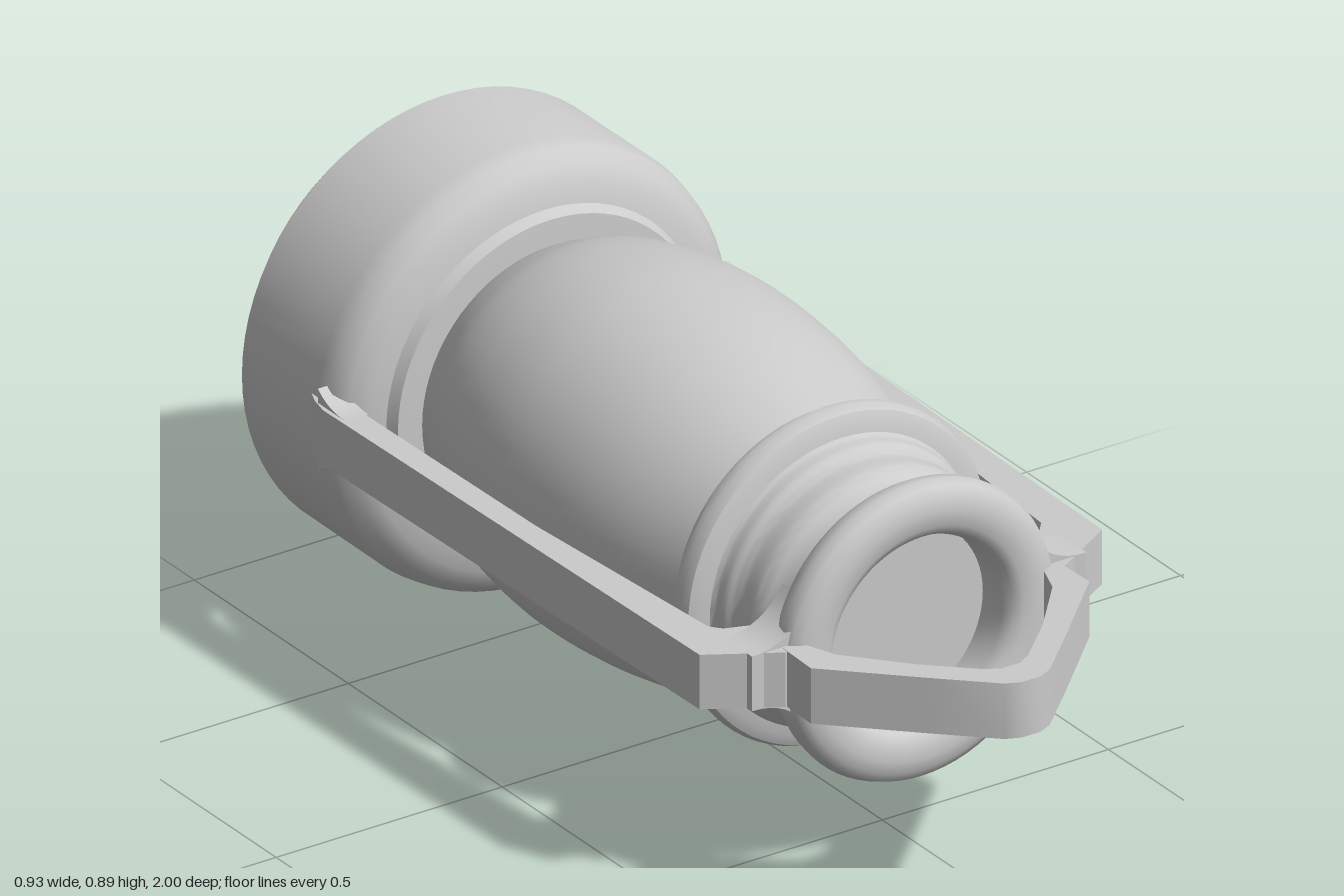
import * as THREE from 'three';
import { toCreasedNormals } from 'three/addons/utils/BufferGeometryUtils.js';

const material = new THREE.MeshStandardMaterial({ color: 0xcccccc });
const AXIS_Y = 0.452, AXIS_X = -0.01;

// All geometry is built around the lamp's own axis, which runs along z.
function add(group, name, geometry, crease = 0.65) {
  const mesh = new THREE.Mesh(toCreasedNormals(geometry, crease), material);
  mesh.name = name;
  group.add(mesh);
  return mesh;
}

// Turned part from [radius, z] pairs, listed from back to front.
function turned(points, smooth = 0) {
  let pts = points.map(([r, z]) => new THREE.Vector2(r, z));
  if (smooth) pts = new THREE.SplineCurve(pts).getPoints(smooth);
  return new THREE.LatheGeometry(pts, 72).rotateX(Math.PI / 2);
}

// Flat part drawn in x and z, with its thickness centred on the axis height.
function slab(points, height) {
  const shape = new THREE.Shape(points.map(([x, z]) => new THREE.Vector2(x, z)));
  return new THREE.ExtrudeGeometry(shape, { depth: height, bevelEnabled: false })
    .rotateX(Math.PI / 2).translate(0, height / 2, 0);
}

const mirrored = (points) => points.map(([x, z]) => [-x, z]);

// Concave gusset, wide at u = 0 and narrowing to the bar at u = length.
function gusset(length, wide, narrow, depth) {
  const s = new THREE.Shape();
  s.moveTo(0, -wide);
  s.quadraticCurveTo(length * 0.35, -narrow, length, -narrow);
  s.lineTo(length, narrow);
  s.quadraticCurveTo(length * 0.35, narrow, 0, wide);
  return new THREE.ExtrudeGeometry(s, { depth, bevelEnabled: false, curveSegments: 8 });
}

export function createModel() {
  const model = new THREE.Group();
  model.name = 'lantern';
  const body = new THREE.Group();
  body.name = 'lanternBody';
  body.position.set(AXIS_X, AXIS_Y, 0);
  model.add(body);

  // Heavy base with a slightly domed underside
  add(body, 'base', turned([
    [0, -1], [0.16, -0.998], [0.28, -0.99], [0.36, -0.973], [0.41, -0.95], [0.446, -0.91],
    [0.447, -0.67], [0.44, -0.635], [0.42, -0.608], [0.385, -0.59], [0.35, -0.582],
    [0.338, -0.562], [0.28, -0.558], [0, -0.558],
  ]));

  // Bulging globe
  add(body, 'globe', turned([
    [0.28, -0.57], [0.308, -0.52], [0.338, -0.45], [0.362, -0.34], [0.374, -0.2],
    [0.365, -0.03], [0.337, 0.13], [0.284, 0.32],
  ], 36));

  // Collar ring above the globe
  add(body, 'collar', turned([
    [0.26, 0.304], [0.31, 0.304], [0.322, 0.312], [0.328, 0.33], [0.338, 0.336],
    [0.34, 0.355], [0.332, 0.372], [0.31, 0.382], [0.26, 0.386],
  ]));

  // Stepped neck
  add(body, 'neck', turned([
    [0.3, 0.375], [0.288, 0.39], [0.284, 0.415], [0.272, 0.44], [0.27, 0.49],
    [0.254, 0.525], [0.248, 0.565], [0.26, 0.6],
  ], 28));

  // Rounded top rim with a sunken well
  add(body, 'topRim', turned([
    [0.23, 0.572], [0.262, 0.575], [0.288, 0.584], [0.298, 0.6], [0.301, 0.622],
    [0.293, 0.642], [0.275, 0.653], [0.25, 0.658], [0.218, 0.655], [0.2, 0.645],
    [0.19, 0.625], [0.188, 0.565], [0, 0.565],
  ]));

  // Side bars, each bending inward to the top rim
  const bar = [
    [0.43, -0.72], [0.455, -0.66], [0.464, -0.62], [0.445, 0.575], [0.31, 0.655],
    [0.24, 0.645], [0.24, 0.53], [0.3, 0.53], [0.35, 0.512], [0.368, 0.49],
    [0.402, -0.02], [0.41, -0.56], [0.39, -0.64],
  ];
  add(body, 'leftSideBar', slab(bar, 0.112), 0.5);
  add(body, 'rightSideBar', slab(mirrored(bar), 0.112), 0.5);

  for (const [side, s] of [['left', 1], ['right', -1]]) {
    // Flared joint between bar and rim
    const joint = gusset(0.13, 0.13, 0.056, 0.09).translate(0.24, 0, 0.545);
    if (s < 0) joint.rotateZ(Math.PI);
    add(body, side + 'RimJoint', joint);

    // Flared joint between bar and base
    const foot = gusset(0.09, 0.085, 0.056, 0.05)
      .rotateY(-Math.PI / 2).translate(0.455, 0, -0.65);
    if (s < 0) foot.rotateZ(Math.PI);
    add(body, side + 'BaseJoint', foot);
  }

  // Pointed carrying handle
  const outer = [[0.305, 0.64], [0.308, 0.735], [0.15, 0.89], [0.05, 0.985], [0.02, 0.998]];
  const inner = [[0.02, 0.932], [0.05, 0.915], [0.14, 0.83], [0.24, 0.715], [0.268, 0.64]];
  const half = [...outer, ...mirrored(outer).reverse()];
  const hole = [...mirrored(inner).reverse().map((p) => p)];
  add(body, 'handle', slab([...half, ...hole, ...inner], 0.114), 0.5);

  return model;
}
